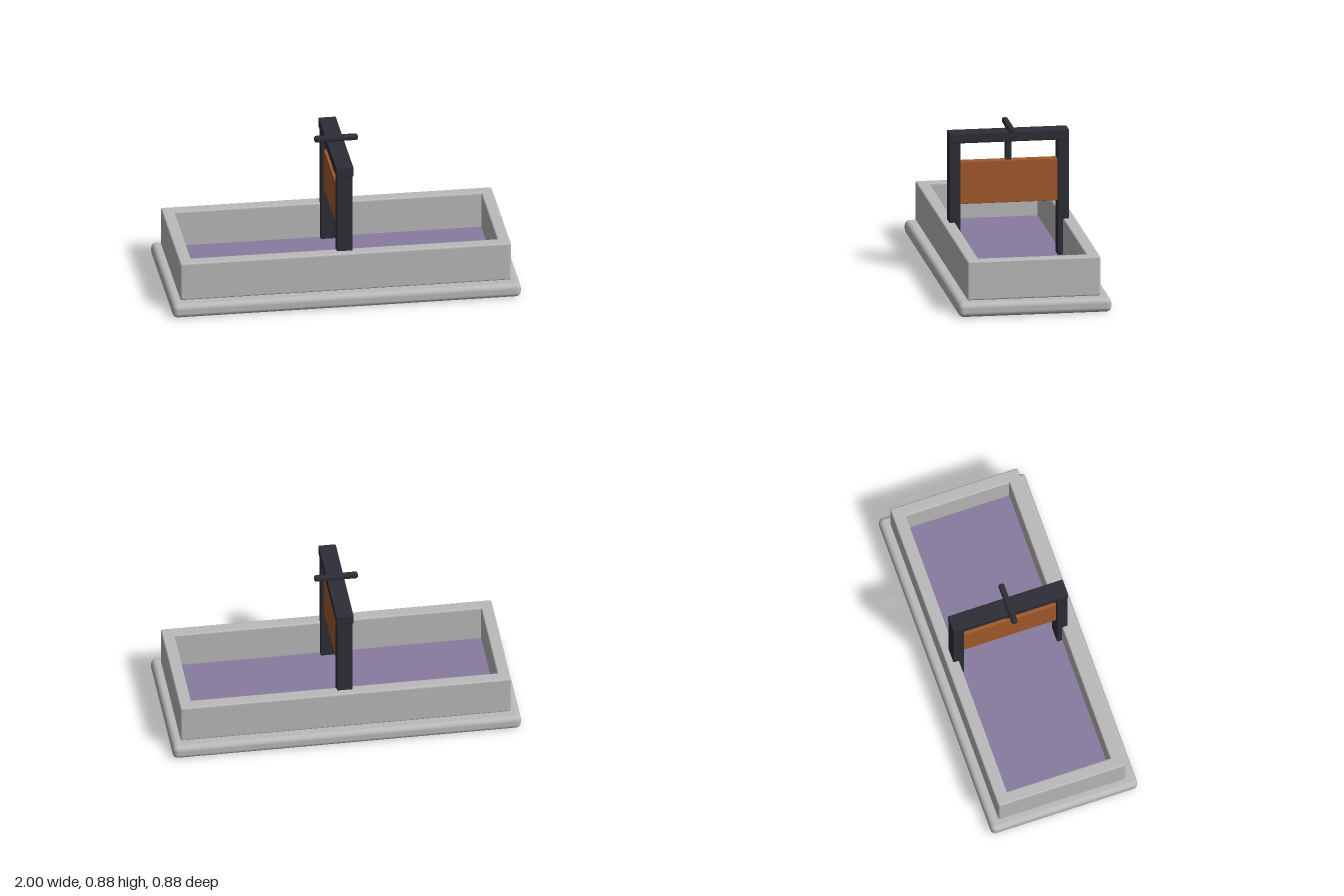
import * as THREE from 'three';
import { RoundedBoxGeometry } from 'three/addons/geometries/RoundedBoxGeometry.js';

const mat = (name, color) => {
  const m = new THREE.MeshStandardMaterial({ color });
  m.name = name;
  return m;
};

// Rectangle outline centred on the origin, with optional rounded corners
function rect(path, hx, hz, r) {
  path.moveTo(-hx + r, -hz);
  path.lineTo(hx - r, -hz);
  path.quadraticCurveTo(hx, -hz, hx, -hz + r);
  path.lineTo(hx, hz - r);
  path.quadraticCurveTo(hx, hz, hx - r, hz);
  path.lineTo(-hx + r, hz);
  path.quadraticCurveTo(-hx, hz, -hx, hz - r);
  path.lineTo(-hx, -hz + r);
  path.quadraticCurveTo(-hx, -hz, -hx + r, -hz);
  return path;
}

export function createModel() {
  const stone = mat('stone', 0xbababa);
  const water = mat('water', 0x877ca0);
  const wood = mat('wood', 0xa3592b);
  const iron = mat('iron', 0x2d2d36);
  const model = new THREE.Group();
  model.name = 'sluiceGate';

  const add = (name, geometry, material, x = 0, y = 0, z = 0) => {
    const mesh = new THREE.Mesh(geometry, material);
    mesh.name = name;
    mesh.position.set(x, y, z);
    model.add(mesh);
    return mesh;
  };
  // Rounded box spanning y0..y1
  const block = (name, material, w, y0, y1, d, r, z = 0) =>
    add(name, new RoundedBoxGeometry(w, y1 - y0, d, 4, r), material, 0, (y0 + y1) / 2, z);

  // Base slab
  block('base', stone, 2, 0, 0.083, 0.88, 0.03);

  // Channel walls: a softly bevelled rectangular frame
  const bevel = 0.009;
  const outline = rect(new THREE.Shape(), 0.95 - bevel, 0.383 - bevel, 0.004);
  outline.holes.push(rect(new THREE.Path(), 0.88 + bevel, 0.31 + bevel, 0.001));
  const walls = new THREE.ExtrudeGeometry(outline, {
    depth: 0.229 - 2 * bevel, bevelEnabled: true, bevelSize: bevel,
    bevelThickness: bevel, bevelSegments: 3, curveSegments: 3,
  });
  walls.rotateX(-Math.PI / 2);
  add('channelWalls', walls, stone, 0, 0.088 + bevel, 0);

  // Water filling the channel floor
  add('water', new THREE.BoxGeometry(1.764, 0.025, 0.624), water, 0, 0.0925, 0);

  // Gate frame
  for (const side of [-1, 1]) {
    block(side > 0 ? 'frontPost' : 'backPost', iron, 0.09, 0.1, 0.79, 0.063, 0.004, side * 0.3115);
  }
  block('crossbeam', iron, 0.1, 0.78, 0.839, 0.69, 0.006);

  // Raised gate panel with lifting rod and handle
  block('gatePanel', wood, 0.056, 0.42, 0.666, 0.564, 0.002);
  block('liftingRod', iron, 0.035, 0.666, 0.8, 0.035, 0.008);
  block('handle', iron, 0.25, 0.849, 0.884, 0.035, 0.013);

  return model;
}
